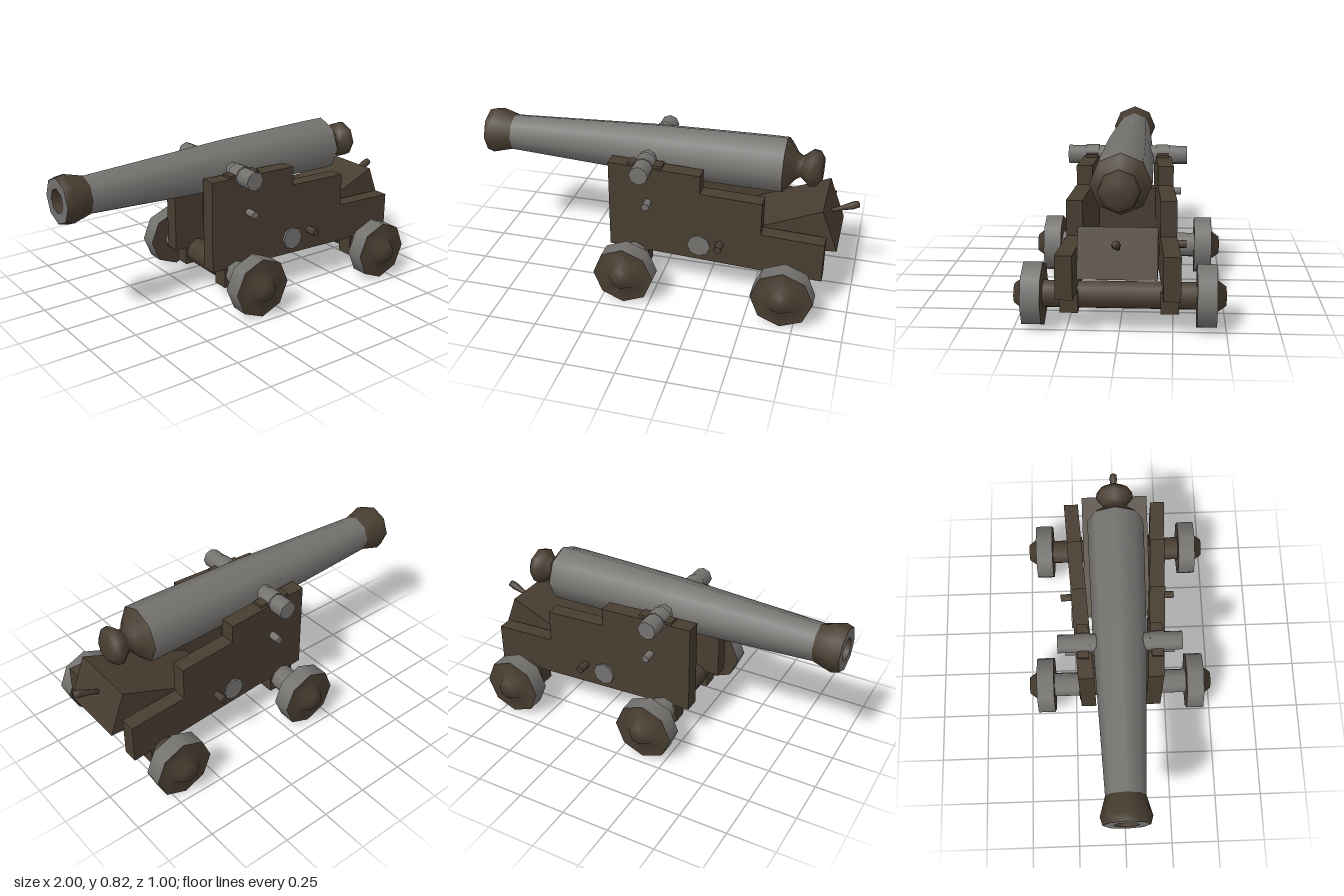
import * as THREE from 'three';

const SIDES = 8, BARREL_Y = 0.673, AXLE_Y = 0.157;

export function createModel() {
  const root = new THREE.Group();
  root.name = 'cannon';
  const mat = (name, color, side = THREE.FrontSide) => {
    const m = new THREE.MeshStandardMaterial({ color, side });
    m.name = name;
    return m;
  };
  const wood = mat('dark wood', 0x483d31);
  const iron = mat('grey iron', 0x74726f);

  const add = (parent, name, geo, material, x = 0, y = 0, z = 0) => {
    const mesh = new THREE.Mesh(geo, material);
    mesh.name = name;
    mesh.position.set(x, y, z);
    parent.add(mesh);
    return mesh;
  };
  // Profile points are [radius, distance along the axis]
  const lathe = pts => new THREE.LatheGeometry(pts.map(p => new THREE.Vector2(...p)), SIDES);
  const box = (w, h, d) => new THREE.BoxGeometry(w, h, d);
  // Bar lying along z
  const bar = (parent, name, r, z0, z1, material, x, y) =>
    add(parent, name, new THREE.CylinderGeometry(r, r, z1 - z0, SIDES).rotateX(Math.PI / 2),
      material, x, y, (z0 + z1) / 2);
  const cheekOuter = x => 0.232 + 0.0625 * x;

  // Barrel, turned along x
  const barrel = new THREE.Group();
  barrel.name = 'barrel';
  barrel.position.y = BARREL_Y;
  barrel.rotation.z = -Math.PI / 2;
  root.add(barrel);
  add(barrel, 'bore', lathe([[0, -0.75], [0.062, -0.75], [0.062, -1]]), wood);
  add(barrel, 'muzzleFace', lathe([[0.062, -1], [0.115, -1]]), iron);
  add(barrel, 'muzzleSwell', lathe([[0.115, -1], [0.127, -0.96], [0.099, -0.86]]), wood);
  add(barrel, 'barrelTube', lathe([[0.099, -0.86], [0.137, -0.07], [0.148, 0.5], [0.148, 0.61]]), iron);
  add(barrel, 'breech', lathe([[0.148, 0.61], [0.125, 0.63], [0.075, 0.665], [0.058, 0.69],
    [0.068, 0.705], [0.1, 0.74], [0.095, 0.775], [0.06, 0.8], [0, 0.8]]), wood);

  // Stepped side cheeks, splayed towards the rear
  const step = new THREE.Shape([[-0.27, 0.19], [0.86, 0.19], [0.86, 0.4], [0.54, 0.4], [0.54, 0.575],
    [0.22, 0.575], [0.22, 0.675], [-0.27, 0.675]].map(p => new THREE.Vector2(...p)));
  for (const s of [1, -1]) {
    const geo = new THREE.ExtrudeGeometry(step, { depth: 0.08, bevelEnabled: false });
    const pos = geo.attributes.position;
    for (let i = 0; i < pos.count; i++) {
      const out = cheekOuter(pos.getX(i));
      pos.setZ(i, pos.getZ(i) + (s > 0 ? out - 0.08 : -out));
    }
    geo.computeVertexNormals();
    add(root, s > 0 ? 'frontCheek' : 'backCheek', geo, wood);

    // Fittings on each cheek, turned half round for the far side
    const fit = new THREE.Group();
    fit.name = s > 0 ? 'frontFittings' : 'backFittings';
    root.add(fit);
    const rod = (name, r, z0, z1, m, x, y) =>
      bar(fit, name, r, s > 0 ? z0 : -z1, s > 0 ? z1 : -z0, m, x, y);
    rod('trunnion', 0.05, 0.1, 0.315, iron, -0.08, BARREL_Y);
    rod('trunnionStrap', 0.055, 0.152, 0.224, iron, -0.08, BARREL_Y);
    add(fit, 'strapFoot', box(0.18, 0.014, 0.06), wood, -0.075, 0.682, s * 0.188);
    rod('upperBolt', 0.02, 0.2, 0.287, iron, -0.055, 0.48);
    rod('lowerBolt', 0.021, 0.22, 0.315, wood, 0.33, 0.302);
    rod('boss', 0.061, 0.2, 0.256, iron, 0.22, 0.276);
  }
  add(root, 'transom', box(0.07, 0.23, 0.32), wood, -0.05, 0.39, 0);

  // Wedge under the breech with its pull handle
  const wedge = new THREE.Shape([[0.22, 0.27], [0.915, 0.31], [0.83, 0.53]]
    .map(p => new THREE.Vector2(...p)));
  add(root, 'wedge', new THREE.ExtrudeGeometry(wedge, { depth: 0.36, bevelEnabled: false }),
    wood, 0, 0, -0.18);
  const handle = add(root, 'wedgeHandle', lathe([[0, 0], [0.012, 0], [0.013, 0.05], [0.021, 0.11],
    [0.018, 0.138], [0, 0.145]]), wood, 0.864, 0.443, 0);
  handle.rotation.z = -Math.PI / 2 + 0.4;

  // Axles and wheels
  for (const [x, label] of [[-0.13, 'muzzle'], [0.685, 'breech']]) {
    const axle = new THREE.Group();
    axle.name = label + 'EndAxle';
    axle.position.set(x, AXLE_Y, 0);
    root.add(axle);
    const inner = cheekOuter(x) - 0.08;
    bar(axle, 'axleBeam', 0.068, -inner, inner, wood, 0, 0);
    for (const s of [1, -1]) {
      const half = new THREE.Group();
      half.name = s > 0 ? 'frontWheel' : 'backWheel';
      half.rotation.y = s > 0 ? 0 : Math.PI;
      axle.add(half);
      add(half, 'axleBlock', box(0.145, 0.105, 0.085), wood, 0, -0.0145, inner + 0.04);
      bar(half, 'axleEnd', 0.068, inner, 0.37, x < 0 ? iron : wood, 0, 0);
      const turn = (name, pts, m) => add(half, name, lathe(pts).rotateX(Math.PI / 2), m);
      turn('wheelTread', [[0.157, 0.361], [0.157, 0.453]], iron);
      turn('wheelInnerFace', [[0, 0.361], [0.157, 0.361]], wood);
      turn('wheelOuterFace', [[0.157, 0.453], [0.08, 0.456], [0.048, 0.498], [0, 0.5]], wood);
    }
  }
  return root;
}
